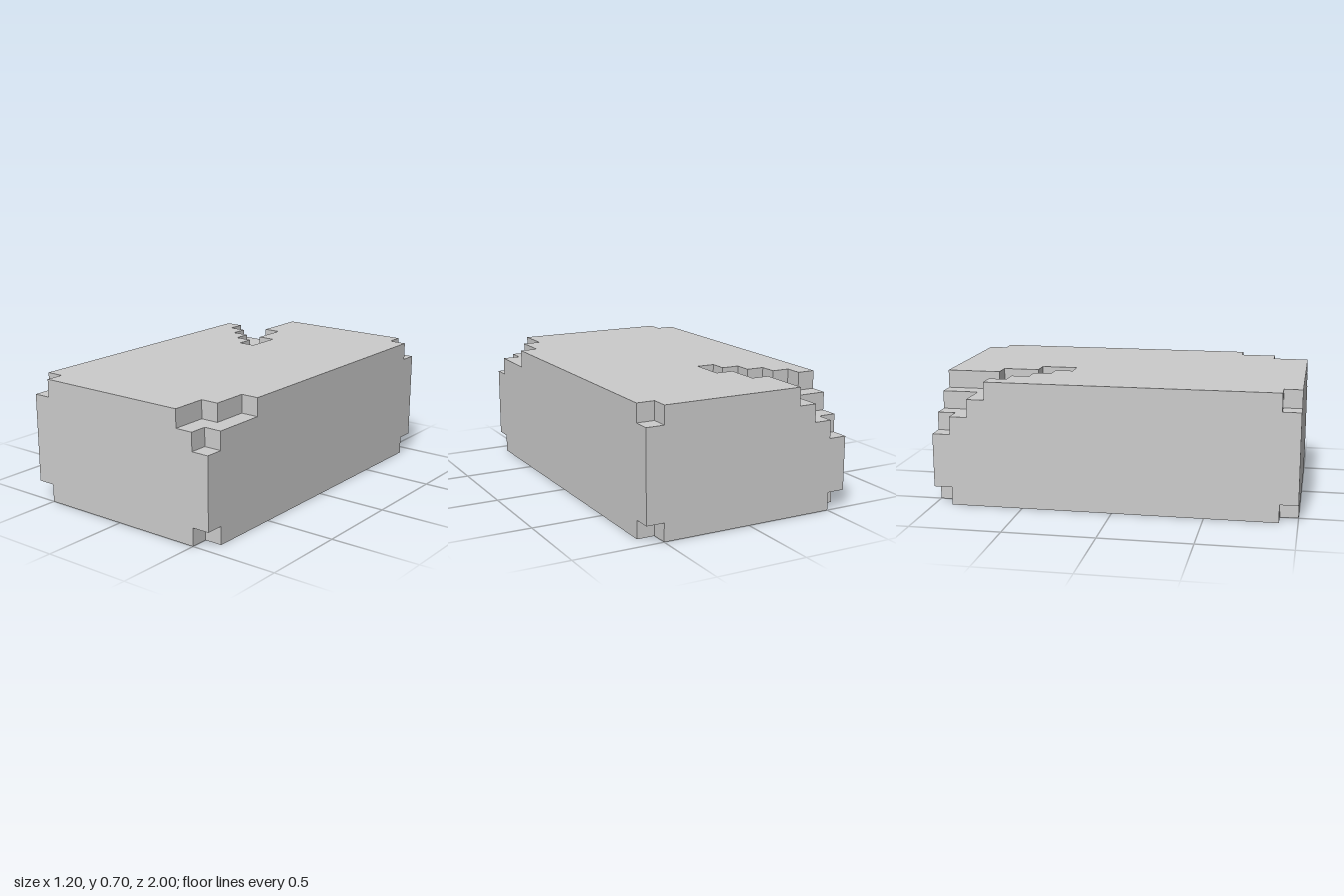
import * as THREE from 'three';
import { mergeVertices } from 'three/addons/utils/BufferGeometryUtils.js';

const CELL = 0.1;
const SIZE = [12, 7, 20]; // cells along x, y, z

// Removed cells as boxes: [x0, x1, y0, y1, z0, z1], upper ends excluded
const cuts = [];

// One cell missing at every corner
for (const x of [0, 11]) for (const y of [0, 6]) for (const z of [0, 19])
  cuts.push([x, x + 1, y, y + 1, z, z + 1]);

// Chipped corner at the front: two steps
cuts.push([10, 12, 6, 7, 18, 20], [11, 12, 6, 7, 16, 18], [11, 12, 5, 6, 19, 20]);

// Crack running in from the back corner: [x0, x1] for each row of the top layer
const crackRows = [[0, 3], [0, 3], [0, 3], [1, 4], [2, 4], [3, 5], [4, 5]];
crackRows.forEach(([x0, x1], z) => cuts.push([x0, x1, 6, 7, z, z + 1]));

// Steps below the mouth of the crack
cuts.push([0, 2, 5, 6, 0, 2], [0, 1, 4, 5, 0, 1]);

const isSolid = (p) =>
  p.every((n, i) => n >= 0 && n < SIZE[i]) &&
  !cuts.some((c) => p.every((n, i) => n >= c[2 * i] && n < c[2 * i + 1]));

// Surface of the cell block: only faces that border empty space
function blockGeometry() {
  const positions = [], normals = [];
  const addFace = (cell, axis, sign) => {
    const u = (axis + 1) % 3, v = (axis + 2) % 3;
    const corners = [[0, 0], [1, 0], [1, 1], [0, 1]].map(([a, b]) => {
      const p = [...cell];
      p[u] += a;
      p[v] += b;
      if (sign > 0) p[axis] += 1;
      return [(p[0] - SIZE[0] / 2) * CELL, p[1] * CELL, (p[2] - SIZE[2] / 2) * CELL];
    });
    const normal = [0, 0, 0];
    normal[axis] = sign;
    for (const i of sign > 0 ? [0, 1, 2, 0, 2, 3] : [0, 2, 1, 0, 3, 2]) {
      positions.push(...corners[i]);
      normals.push(...normal);
    }
  };

  for (let x = 0; x < SIZE[0]; x++)
    for (let y = 0; y < SIZE[1]; y++)
      for (let z = 0; z < SIZE[2]; z++) {
        const cell = [x, y, z];
        if (!isSolid(cell)) continue;
        for (let axis = 0; axis < 3; axis++)
          for (const sign of [-1, 1]) {
            const next = [...cell];
            next[axis] += sign;
            if (!isSolid(next)) addFace(cell, axis, sign);
          }
      }

  const geometry = new THREE.BufferGeometry();
  geometry.setAttribute('position', new THREE.Float32BufferAttribute(positions, 3));
  geometry.setAttribute('normal', new THREE.Float32BufferAttribute(normals, 3));
  return mergeVertices(geometry);
}

export function createModel() {
  const model = new THREE.Group();
  model.name = 'chippedBrick';
  const material = new THREE.MeshStandardMaterial({ color: 0xcccccc, flatShading: true });
  const block = new THREE.Mesh(blockGeometry(), material);
  block.name = 'brickBlock';
  model.add(block);
  return model;
}
